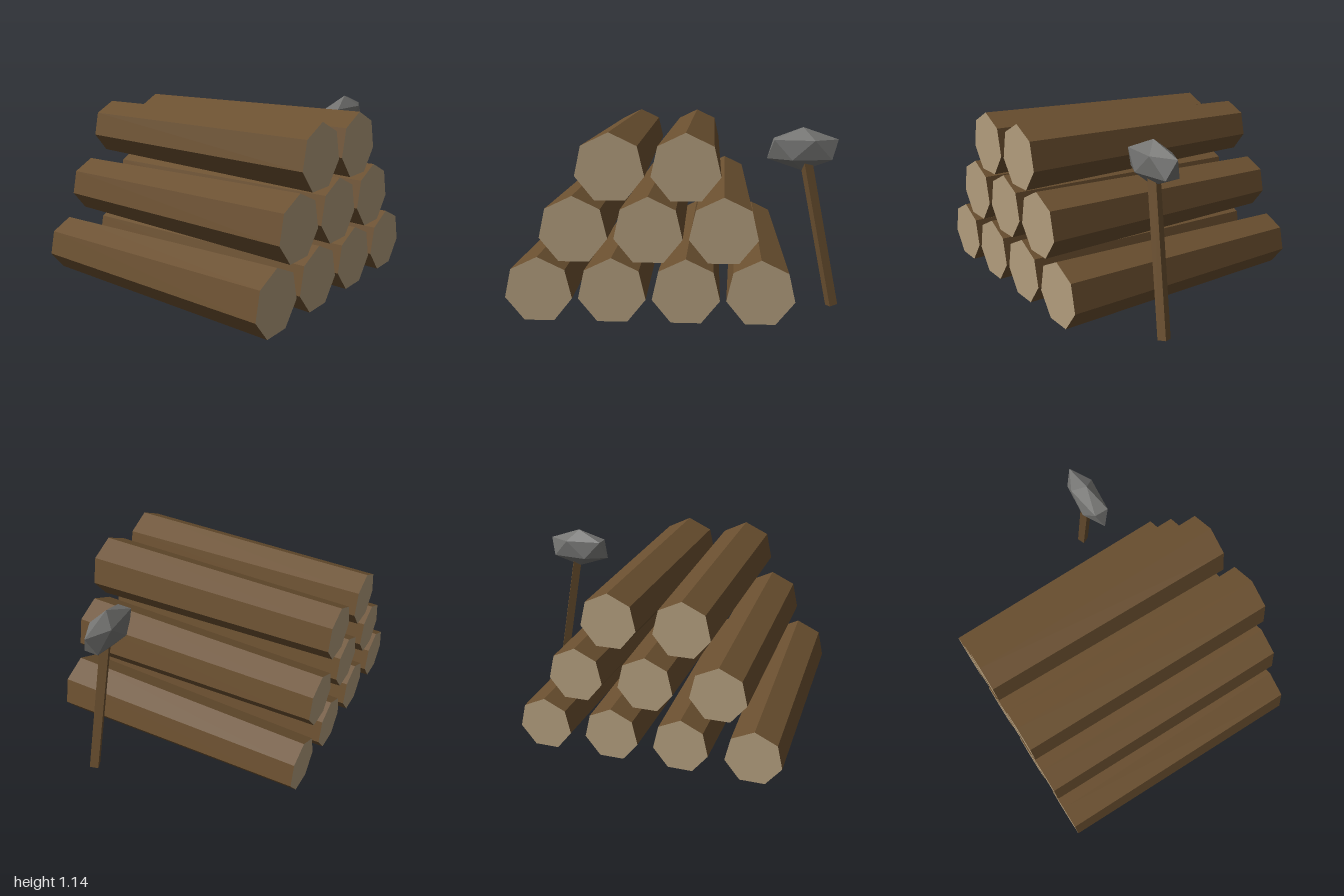
import * as THREE from 'three';

const material = (name, color) => {
  const m = new THREE.MeshStandardMaterial({ color, flatShading: true });
  m.name = name;
  return m;
};

export function createModel() {
  const bark = material('bark brown', 0x6b5030);
  const cutWood = material('cut wood tan', 0xb29d7d);
  const stone = material('stone grey', 0x737371);

  const model = new THREE.Group();
  model.name = 'logPileWithHammer';

  // Seven-sided logs, slightly thinner at the back, one corner pointing up
  const logGeometry = new THREE.CylinderGeometry(0.203, 0.171, 1.67, 7, 1, false, Math.PI);
  logGeometry.rotateX(Math.PI / 2);

  // Stacked rows: first log x, height, count
  const rows = [
    [-0.803, 0.22, 4],
    [-0.588, 0.583, 3],
    [-0.372, 0.945, 2],
  ];
  const pile = new THREE.Group();
  pile.name = 'logPile';
  for (const [x, y, count] of rows) {
    for (let i = 0; i < count; i++) {
      const log = new THREE.Mesh(logGeometry, [bark, cutWood, cutWood]);
      log.name = 'log';
      log.position.set(x + i * 0.431, y, 0);
      pile.add(log);
    }
  }
  model.add(pile);

  const hammer = new THREE.Group();
  hammer.name = 'hammer';

  // Square handle leaning from the ground up into the head
  const foot = new THREE.Vector3(0.957, 0.012, 0.415);
  const top = new THREE.Vector3(0.766, 0.95, 0.359);
  const axis = top.clone().sub(foot);
  const handle = new THREE.Mesh(
    new THREE.CylinderGeometry(0.039, 0.039, axis.length(), 4, 1, false, 1.2),
    bark
  );
  handle.name = 'handle';
  handle.position.copy(foot).add(top).multiplyScalar(0.5);
  handle.quaternion.setFromUnitVectors(new THREE.Vector3(0, 1, 0), axis.normalize());
  hammer.add(handle);

  // Faceted stone head: an icosahedron turned onto its pole, then stretched
  const headGeometry = new THREE.IcosahedronGeometry(1, 0);
  headGeometry.rotateZ(-Math.atan(2 / (1 + Math.sqrt(5))));
  headGeometry.scale(0.243, 0.134, 0.092);
  const head = new THREE.Mesh(headGeometry, stone);
  head.name = 'hammerHead';
  head.position.set(0.75, 0.992, 0.35);
  hammer.add(head);

  model.add(hammer);
  return model;
}
